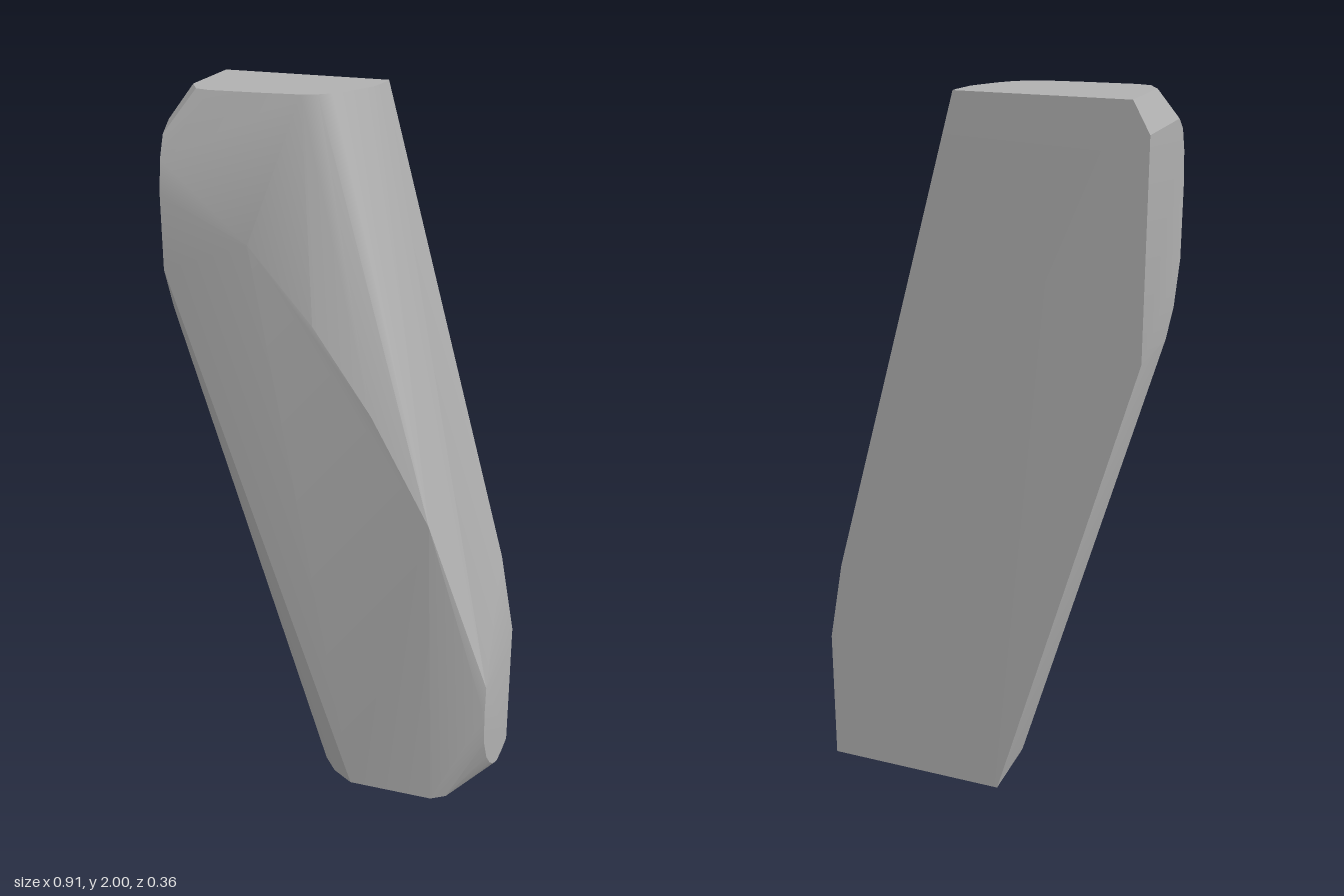
import * as THREE from 'three';
import { ConvexGeometry } from 'three/addons/geometries/ConvexGeometry.js';
import { toCreasedNormals } from 'three/addons/utils/BufferGeometryUtils.js';

// Each loop outlines one flat side of the leaning block.
const outlines = {
  // (x, z) at y = 2
  top: [[-0.41, -0.175], [0.05, -0.175], [0.05, -0.15], [0.04, -0.08], [0, 0], [-0.03, 0.04],
    [-0.06, 0.064], [-0.1, 0.08], [-0.2, 0.091], [-0.34, 0.1], [-0.38, 0.09], [-0.412, 0.035]],
  // (x, z) at y = 0
  bottom: [[-0.07, -0.182], [-0.07, 0.034], [-0.044, 0.088], [0.0, 0.14], [0.064, 0.179],
    [0.31, 0.176], [0.35, 0.15], [0.455, -0.11], [0.455, -0.182]],
  // (z, y) at x = 0.455
  left: [[-0.182, 0.4], [0.147, 0.4], [0.154, 0.31], [0.142, 0.21], [0.1, 0.13], [0.05, 0.075],
    [0, 0.035], [-0.05, 0.01]],
  // (z, y) at x = -0.455
  right: [[-0.175, 1.35], [0.06, 1.35], [0.13, 1.42], [0.178, 1.54], [0.178, 1.74],
    [0.165, 1.83], [0.14, 1.89], [0.1, 1.92], [-0.175, 1.92]],
  // (x, y) along the soft ridge of the front
  ridge: [[-0.215, 1.63], [-0.04, 1.43], [0.12, 1.2], [0.285, 0.9]],
};

export function createModel() {
  const group = new THREE.Group();
  group.name = 'leaningBlock';
  const grey = new THREE.MeshStandardMaterial({ color: 0xb0b0b0 });
  grey.name = 'stone grey';

  const v = (x, y, z) => new THREE.Vector3(x, y, z);
  const points = [
    ...outlines.top.map(([x, z]) => v(x, 2, z)),
    ...outlines.bottom.map(([x, z]) => v(x, 0, z)),
    ...outlines.left.map(([z, y]) => v(0.455, y, z)),
    ...outlines.right.map(([z, y]) => v(-0.455, y, z)),
    ...outlines.ridge.map(([x, y]) => v(x, y, 0.181)),
    v(0.412, 0.64, -0.183), // bend in the long left edge
  ];

  // Worn slab: flat planes with softly rounded front edges
  const block = new THREE.Mesh(toCreasedNormals(new ConvexGeometry(points), 0.3), grey);
  block.name = 'block';
  group.add(block);
  return group;
}
